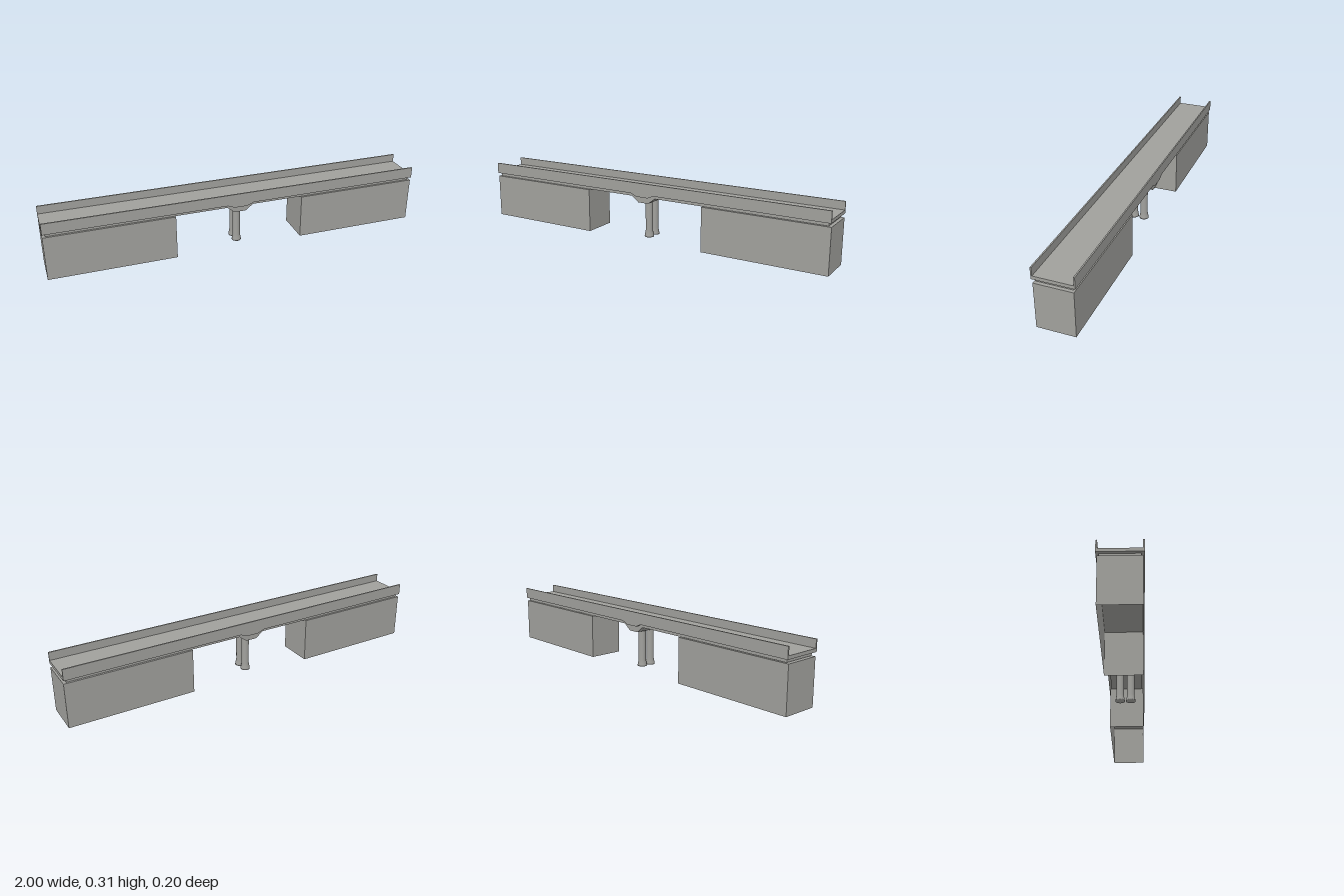
import * as THREE from 'three';

const concrete = new THREE.MeshStandardMaterial({ color: 0xa0a09c });
concrete.name = 'concrete';
const shell = new THREE.MeshStandardMaterial({ color: 0xa0a09c, side: THREE.DoubleSide });
shell.name = 'concreteShell';

function add(parent, name, geometry, material = concrete) {
  const mesh = new THREE.Mesh(geometry, material);
  mesh.name = name;
  parent.add(mesh);
  return mesh;
}

// Side profile with a flat top and an underside that steps down at mid-span, extruded across z
function span(halfLength, top, bottom, dip, outer, inner, z0, z1) {
  const shape = new THREE.Shape([
    [-halfLength, bottom], [-outer, bottom], [-inner, dip], [inner, dip],
    [outer, bottom], [halfLength, bottom], [halfLength, top], [-halfLength, top],
  ].map(([x, y]) => new THREE.Vector2(x, y)));
  return new THREE.ExtrudeGeometry(shape, { depth: z1 - z0, bevelEnabled: false }).translate(0, 0, z0);
}

// Box without its underside
function openBox(w, h, d) {
  const geometry = new THREE.BoxGeometry(w, h, d);
  const index = Array.from(geometry.index.array);
  index.splice(18, 6);
  geometry.setIndex(index);
  geometry.clearGroups();
  return geometry;
}

export function createModel() {
  const bridge = new THREE.Group();
  bridge.name = 'bridge';

  // Road slab and girder with its haunch over the pier
  add(bridge, 'deck', span(1, 0.27, 0.253, 0.238, 0.07, 0.035, -0.095, 0.095));
  add(bridge, 'girder', span(0.985, 0.26, 0.236, 0.205, 0.07, 0.03, -0.088, 0.088));

  // Column profile: straight shaft with a flared foot
  const profile = [[0, 0.01], [0.025, 0.01], [0.024, 0.018], [0.019, 0.045], [0.019, 0.21]]
    .map(([r, y]) => new THREE.Vector2(r, y));

  for (const side of [1, -1]) {
    const name = side > 0 ? 'front' : 'back';
    // Parapets
    const z0 = side > 0 ? 0.095 : -0.102;
    add(bridge, name + 'Parapet', span(1, 0.312, 0.253, 0.238, 0.07, 0.035, z0, z0 + 0.007));
    // Pier columns
    add(bridge, name + 'Column', new THREE.LatheGeometry(profile, 20).toNonIndexed())
      .position.z = side * 0.028;
    // Abutments, hollow from below
    const abutment = add(bridge, side > 0 ? 'leftAbutment' : 'rightAbutment',
      openBox(0.657, 0.234, 0.19), shell);
    abutment.position.set(side * 0.6715, 0.117, 0);
  }
  return bridge;
}
